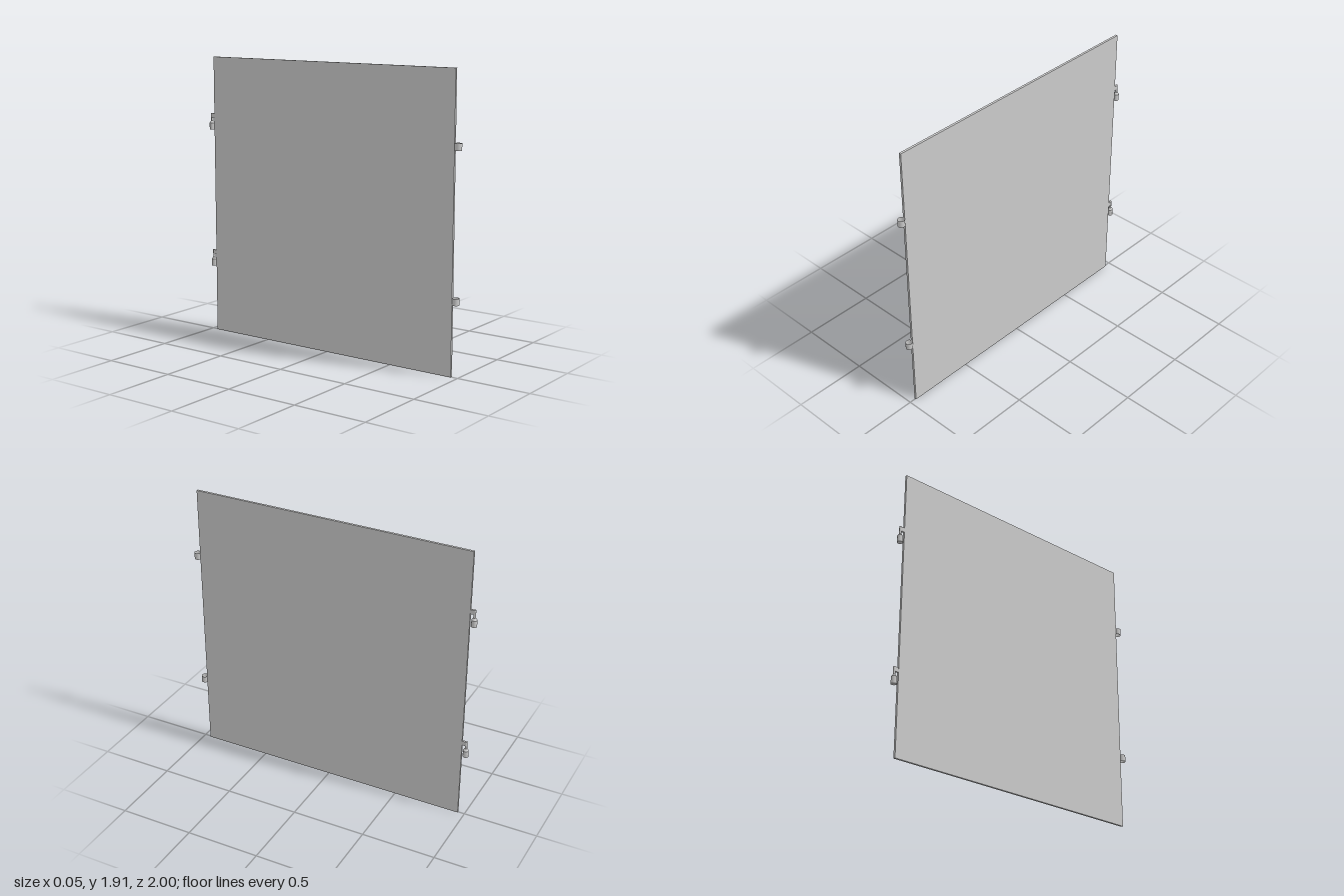
import * as THREE from 'three';

export function createModel() {
  const group = new THREE.Group();
  const grey = new THREE.MeshStandardMaterial({ color: 0xcccccc });
  const thin = new THREE.MeshStandardMaterial({ color: 0xcccccc, side: THREE.DoubleSide });

  function add(parent, name, geometry, material, x, y, z) {
    const mesh = new THREE.Mesh(geometry, material);
    mesh.name = name;
    mesh.position.set(x, y, z);
    parent.add(mesh);
    return mesh;
  }

  // Thin square gate panel
  add(group, 'panel', new THREE.BoxGeometry(0.015, 1.912, 1.91), grey, 0, 0.956, 0);

  // Open ring that receives a hinge pin
  const ringGeometry = new THREE.CylinderGeometry(0.0228, 0.0228, 0.045, 24, 1, true);

  // Hinge pin sleeve: closed base, straight wall, chamfered shoulder
  const sleeveProfile = [[0, 0], [0.0185, 0], [0.0185, 0.046], [0.008, 0.06], [0, 0.06]]
    .map(([r, y]) => new THREE.Vector2(r, y));
  const sleeveGeometry = new THREE.LatheGeometry(sleeveProfile, 20).toNonIndexed();
  sleeveGeometry.computeVertexNormals();
  const pinGeometry = new THREE.CylinderGeometry(0.008, 0.008, 0.06, 16);
  const armGeometry = new THREE.BoxGeometry(0.013, 0.03, 0.03);

  // Two hinge heights, rings at the front edge and pins at the back edge
  for (const y of [0.484, 1.44]) {
    add(group, 'hingeRing', ringGeometry, thin, 0, y, 0.9772);

    const pin = new THREE.Group();
    pin.name = 'hingePin';
    pin.position.set(0, y - 0.027, -0.9815);
    add(pin, 'pinSleeve', sleeveGeometry, grey, 0, 0, 0);
    add(pin, 'pinShaft', pinGeometry, grey, 0, 0.083, 0);
    add(pin, 'pinArm', armGeometry, grey, 0, 0.097, 0.0145);
    group.add(pin);
  }

  return group;
}
